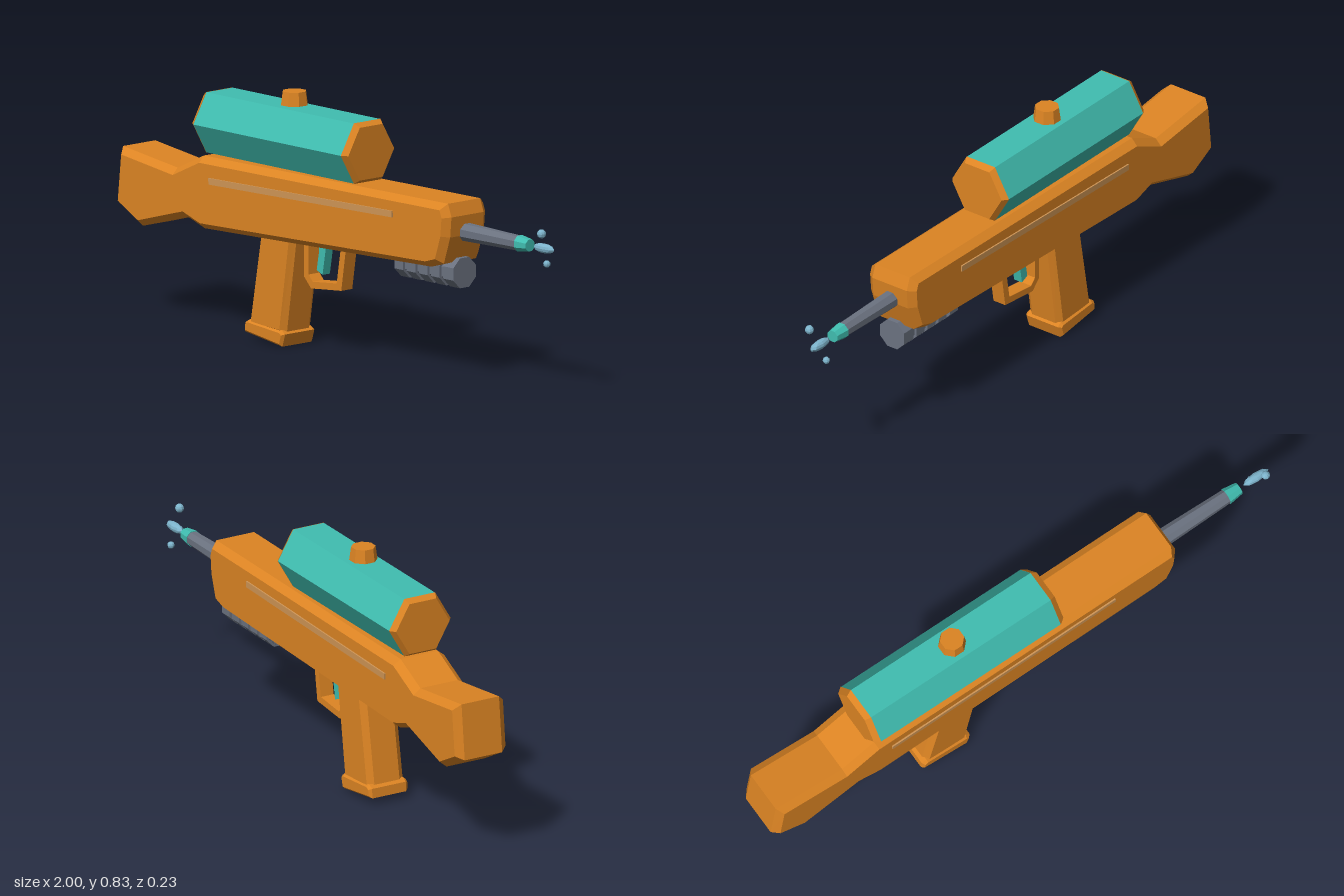
import * as THREE from 'three';

const mat = (name, color) => {
  const m = new THREE.MeshStandardMaterial({ color });
  m.name = name;
  return m;
};

export function createModel() {
  const group = new THREE.Group();
  const orange = mat('orange', 0xdc8423);
  const teal = mat('teal', 0x40bdb0);
  const grey = mat('grey', 0x6b7280);
  const blue = mat('waterBlue', 0x7db4cc);
  const tan = mat('tan', 0xcf9555);

  const add = (name, geo, material, x = 0, y = 0, z = 0) => {
    const mesh = new THREE.Mesh(geo, material);
    mesh.name = name;
    mesh.position.set(x, y, z);
    group.add(mesh);
    return mesh;
  };
  const facet = (geo) => {
    const g = geo.index ? geo.toNonIndexed() : geo;
    g.computeVertexNormals();
    return g;
  };
  const outline = (pts, Type = THREE.Shape) => new Type(pts.map(([x, y]) => new THREE.Vector2(x, y)));

  // Side profile extruded across z, with a chamfer kept inside the outline
  const slab = (shape, half, bevel = 0) => {
    const geo = new THREE.ExtrudeGeometry(shape, {
      depth: 2 * (half - bevel), bevelEnabled: bevel > 0, bevelThickness: bevel,
      bevelSize: bevel * 0.8, bevelOffset: -bevel * 0.8, bevelSegments: 1,
    });
    geo.translate(0, 0, bevel - half);
    return geo;
  };

  // Faceted cylinder along x from x0 (radius r0) to x1 (radius r1)
  const rod = (name, material, x0, x1, r0, r1, y, sides = 8) => {
    const start = sides === 8 ? Math.PI / 8 : 0;
    const geo = new THREE.CylinderGeometry(r1, r0, x1 - x0, sides, 1, false, start);
    geo.rotateZ(-Math.PI / 2);
    return add(name, facet(geo), material, (x0 + x1) / 2, y);
  };

  // Body with shoulder stock
  add('body', slab(outline([
    [-1, 0.366], [-0.885, 0.305], [-0.67, 0.366], [-0.59, 0.34], [0.49, 0.372], [0.55, 0.39],
    [0.58, 0.48], [0.586, 0.547], [0.57, 0.59], [-0.595, 0.578], [-0.72, 0.52], [-0.98, 0.553],
  ]), 0.095, 0.025), orange);

  // Thin side strips
  for (const s of [1, -1]) {
    const strip = add(s > 0 ? 'frontStrip' : 'backStrip',
      new THREE.BoxGeometry(0.875, 0.021, 0.008), tan, -0.104, 0.515, s * 0.096);
    strip.rotation.z = 0.023;
  }

  // Grip and its foot
  add('grip', slab(outline([
    [-0.393, 0.05], [-0.225, 0.04], [-0.172, 0.4], [-0.332, 0.4],
  ]), 0.067, 0.02), orange);
  add('gripFoot', slab(outline([
    [-0.405, 0.028], [-0.228, 0.003], [-0.215, 0.045], [-0.23, 0.056], [-0.385, 0.07], [-0.402, 0.06],
  ]), 0.073, 0.01), orange);

  // Trigger guard and trigger
  const guard = outline([
    [-0.168, 0.38], [-0.168, 0.238], [-0.134, 0.203], [0.01, 0.216], [0.036, 0.38],
  ]);
  guard.holes.push(outline([
    [-0.146, 0.37], [0.01, 0.37], [-0.012, 0.237], [-0.126, 0.226], [-0.146, 0.247],
  ], THREE.Path));
  add('triggerGuard', slab(guard, 0.024), orange);
  add('trigger', slab(outline([
    [-0.116, 0.265], [-0.088, 0.253], [-0.066, 0.38], [-0.106, 0.38], [-0.106, 0.32],
  ]), 0.016), teal);

  // Barrel and nozzle
  rod('barrel', grey, 0.56, 0.84, 0.031, 0.025, 0.49);
  rod('nozzle', teal, 0.835, 0.885, 0.028, 0.021, 0.49);

  // Ribbed foregrip
  rod('foregripCore', grey, 0.283, 0.568, 0.044, 0.044, 0.355);
  for (let i = 0; i < 5; i++) {
    const x = 0.283 + i * 0.058;
    rod('foregripRib', grey, x + 0.008, x + 0.05, 0.053, 0.053, 0.355);
  }
  rod('foregripEnd', grey, 0.55, 0.572, 0.053, 0.053, 0.355);

  // Hexagonal tank with chamfered end caps
  rod('tank', teal, -0.597, 0.107, 0.114, 0.114, 0.685, 6);
  rod('rearCap', orange, -0.617, -0.597, 0.1, 0.115, 0.685, 6);
  rod('frontCap', orange, 0.107, 0.127, 0.115, 0.1, 0.685, 6);
  for (const x of [-0.437, -0.04])
    add('tankMount', new THREE.BoxGeometry(0.08, 0.04, 0.06), orange, x, 0.577);

  // Filler knob
  add('fillerKnob', facet(new THREE.CylinderGeometry(0.04, 0.046, 0.045, 8, 1, false, Math.PI / 8)),
    orange, -0.24, 0.811);

  // Water drops
  const drop = (name, r, x, y, z, stretch = 1) => {
    const geo = facet(new THREE.SphereGeometry(r, 8, 6).scale(stretch, 1, 1));
    add(name, geo, blue, x, y, z);
  };
  drop('waterJet', 0.016, 0.951, 0.49, 0, 3.06);
  drop('upperDrop', 0.015, 0.97, 0.544, 0.028);
  drop('lowerDrop', 0.012, 0.943, 0.435, -0.02);

  return group;
}
